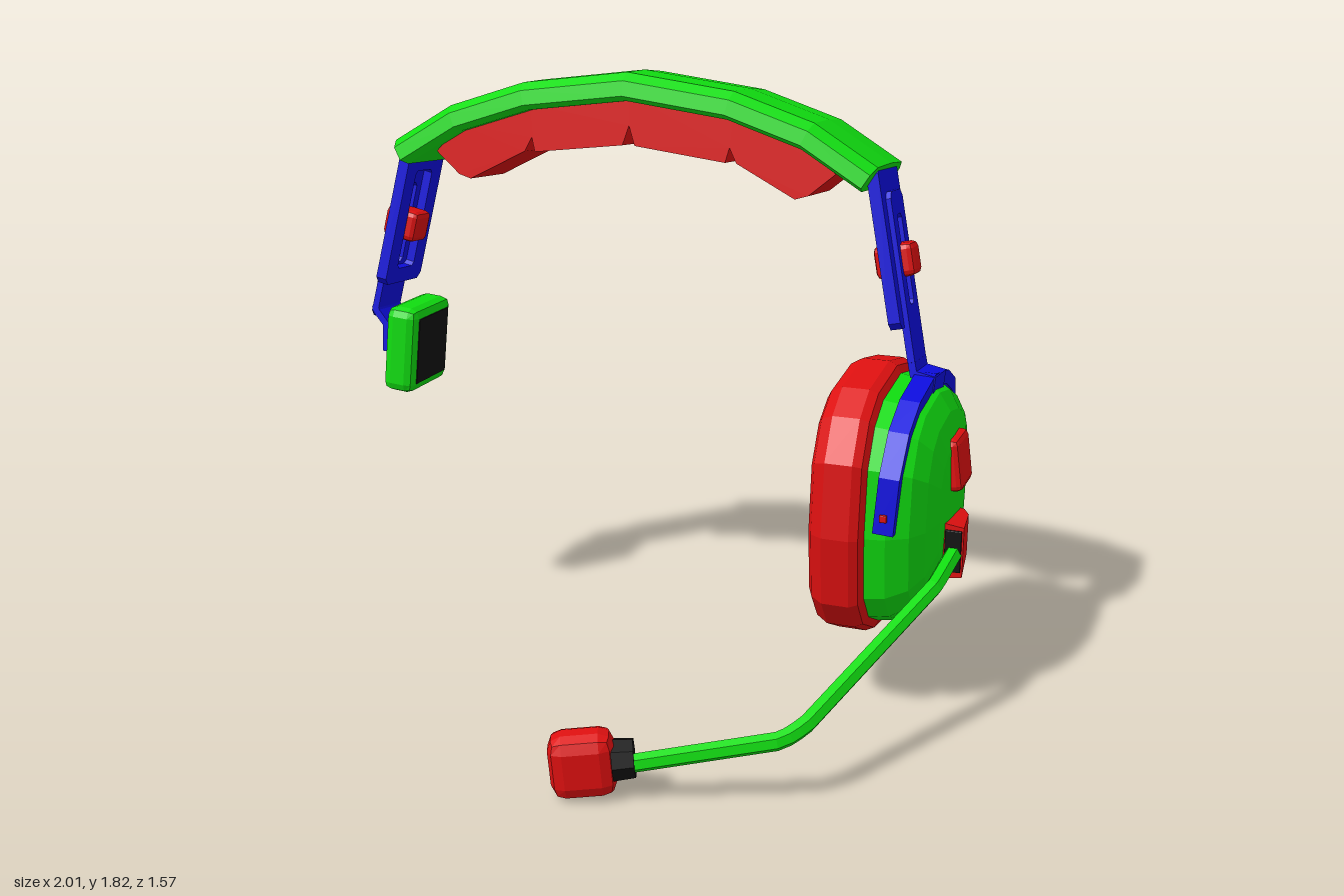
import * as THREE from 'three';
import { RoundedBoxGeometry } from 'three/addons/geometries/RoundedBoxGeometry.js';

const material = (name, color) => {
  const m = new THREE.MeshStandardMaterial({ color, flatShading: true });
  m.name = name;
  return m;
};

// Closed skin over equal-sized rings of points, capped at both ends and wound outward
function loft(rings) {
  const n = rings[0].length, pos = rings.flat(2), index = [];
  for (let r = 0; r < rings.length - 1; r++) {
    for (let i = 0; i < n; i++) {
      const a = r * n + i, b = r * n + (i + 1) % n;
      index.push(a, b, b + n, a, b + n, a + n);
    }
  }
  [[0, true], [rings.length - 1, false]].forEach(([r, flip]) => {
    const c = pos.length / 3;
    for (let k = 0; k < 3; k++) pos.push(rings[r].reduce((s, p) => s + p[k], 0) / n);
    for (let i = 0; i < n; i++) {
      const a = r * n + i, b = r * n + (i + 1) % n;
      index.push(c, flip ? b : a, flip ? a : b);
    }
  });
  const at = (i) => new THREE.Vector3(pos[i * 3], pos[i * 3 + 1], pos[i * 3 + 2]);
  let volume = 0;
  for (let i = 0; i < index.length; i += 3) {
    volume += at(index[i]).dot(at(index[i + 1]).cross(at(index[i + 2])));
  }
  if (volume < 0) index.reverse();
  const g = new THREE.BufferGeometry();
  g.setAttribute('position', new THREE.Float32BufferAttribute(pos, 3));
  g.setIndex(index);
  g.computeVertexNormals();
  return g;
}

// Sweep a section of [normal offset, z] along a flat xy path with mitred corners
function sweep(path, section) {
  const pts = path.map(([x, y]) => new THREE.Vector2(x, y));
  const rings = pts.map((p, i) => {
    const d0 = p.clone().sub(pts[Math.max(i - 1, 0)]).normalize();
    const d1 = pts[Math.min(i + 1, pts.length - 1)].clone().sub(p).normalize();
    const t = d0.clone().add(d1).normalize();
    const miter = 1 / Math.max(0.5, t.dot(d1.lengthSq() ? d1 : d0));
    return section.map(([a, w]) => [p.x - t.y * a * miter, p.y + t.x * a * miter, w]);
  });
  return loft(rings);
}

const rect = (a, w) => [[-a, -w], [a, -w], [a, w], [-a, w]];

// Upright slotted plate lying in the zy plane, its thickness along x
function slottedPlate(width, top, bottom, slotWidth, slotTop, slotBottom, depth) {
  const outline = (C, w, t, b, c) => {
    const s = new C();
    s.setFromPoints([[-w + c, b], [w - c, b], [w, b + c], [w, t - c], [w - c, t], [-w + c, t], [-w, t - c], [-w, b + c]]
      .map(([x, y]) => new THREE.Vector2(x, y)));
    return s;
  };
  const shape = outline(THREE.Shape, width / 2, top, bottom, 0.02);
  shape.holes.push(outline(THREE.Path, slotWidth / 2, slotTop, slotBottom, 0.012));
  const g = new THREE.ExtrudeGeometry(shape, { depth, bevelEnabled: false });
  return g.translate(0, 0, -depth / 2).rotateY(Math.PI / 2);
}

export function createModel() {
  const green = material('green shell', 0x10de10);
  const red = material('red padding', 0xde1010);
  const blue = material('blue frame', 0x0d0dde);
  const black = material('black foam', 0x121212);
  const model = new THREE.Group();
  model.name = 'headset';

  const add = (parent, name, geometry, mat, x = 0, y = 0, z = 0) => {
    const m = new THREE.Mesh(geometry, mat);
    m.name = name;
    m.position.set(x, y, z);
    parent.add(m);
    return m;
  };
  const block = (w, h, d, r) => new RoundedBoxGeometry(w, h, d, 1, r);

  // Headband assembly, leaning slightly backwards
  const head = new THREE.Group();
  head.name = 'headbandAssembly';
  head.position.set(-0.1, 1, -0.41);
  head.rotation.x = -0.08;
  model.add(head);

  const half = [[0.33, 0.738], [0.57, 0.66], [0.76, 0.545]];
  const arc = [...half.map(([x, y]) => [-x, y]).reverse(), [0, 0.78], ...half];
  const bandSection = [[-0.045, -0.15], [-0.03, -0.19], [0.015, -0.185], [0.04, -0.15], [0.046, 0],
    [0.04, 0.15], [0.015, 0.185], [-0.03, 0.19], [-0.045, 0.15]];
  add(head, 'headband', sweep(arc, bandSection), green);

  // Four cushions under the band
  const padShapes = [
    [[0, 0.75], [0, 0.66], [0.02, 0.6], [0.31, 0.565], [0.322, 0.61], [0.33, 0.71]],
    [[0.33, 0.71], [0.322, 0.61], [0.345, 0.565], [0.53, 0.47], [0.57, 0.482], [0.65, 0.55], [0.57, 0.64]],
  ];
  for (const s of [-1, 1]) {
    for (const pts of padShapes) {
      const shape = new THREE.Shape(pts.map(([x, y]) => new THREE.Vector2(s * x, y)));
      add(head, 'headbandPad', new THREE.ExtrudeGeometry(shape, { depth: 0.24, bevelEnabled: false }), red, 0, 0, -0.12);
    }
  }

  // Size sliders on both sides
  for (const s of [-1, 1]) {
    const slider = new THREE.Group();
    slider.name = s > 0 ? 'leftSlider' : 'rightSlider';
    slider.position.set(s * 0.765, 0.56, 0);
    slider.rotation.z = s * 0.21;
    head.add(slider);
    add(slider, 'sliderFrame', slottedPlate(0.24, 0.02, -0.46, 0.11, -0.08, -0.41, 0.036), blue, -s * 0.008);
    add(slider, 'sliderBar', slottedPlate(0.15, -0.06, -0.585, 0.05, -0.13, -0.4, 0.022), blue, s * 0.014);
    add(slider, 'sliderKnob', block(0.12, 0.1, 0.1, 0.018), red, 0, -0.265, 0);
  }
  const bracket = rect(0.011, 0.075);
  add(head, 'leftBracket', sweep([[0.897, 0.01], [0.905, -0.024], [0.96, -0.035], [0.955, -0.09]], bracket), blue);
  add(head, 'rightBracket', sweep([[-0.897, 0.03], [-0.89, 0.01], [-0.855, -0.03], [-0.855, -0.12]], bracket), blue);

  // Small temple rest on the model's right
  const rest = new THREE.Group();
  rest.name = 'templeRest';
  rest.position.set(-0.88, 0.905, -0.405);
  rest.rotation.z = -0.09;
  model.add(rest);
  add(rest, 'templeRestShell', block(0.11, 0.285, 0.265, 0.03), green);
  add(rest, 'templeRestPad', block(0.008, 0.22, 0.2, 0.003), black, 0.055);

  // Ear cup outline as [z, y], lofted sideways with a scale for each x
  const cz = -0.37, cy = 0.595;
  const outline = [[0.055, 0.58], [0.04, 0.8], [-0.03, 0.92], [-0.13, 0.98], [-0.36, 1.01], [-0.55, 0.975], [-0.7, 0.91],
    [-0.765, 0.83], [-0.785, 0.63], [-0.765, 0.42], [-0.7, 0.28], [-0.6, 0.215], [-0.41, 0.18], [-0.2, 0.21], [-0.05, 0.28], [0.025, 0.37]];
  const cup = (profile) => loft(profile.map(([x, k]) =>
    outline.map(([z, y]) => [x, cy + (y - cy) * k, cz + (z - cz) * k])));
  add(model, 'earCushion', cup([[0.595, 0.88], [0.61, 0.95], [0.645, 1], [0.725, 1], [0.75, 0.97], [0.765, 0.9]]), red);
  add(model, 'earCup', cup([[0.75, 0.92], [0.82, 0.89], [0.88, 0.8], [0.915, 0.67], [0.935, 0.45], [0.94, 0.2]]), green);

  // Yoke arching over the ear cup, path given as [-z, y] about its pivot
  const yokePath = [[0, 0.6], [0.01, 0.76], [0.07, 0.87], [0.17, 0.93], [0.36, 0.965], [0.55, 0.93], [0.67, 0.875], [0.725, 0.77], [0.74, 0.55]]
    .map(([z, y]) => [z, y - 0.6]);
  const yoke = add(model, 'yoke', sweep(yokePath, rect(0.021, 0.03)).rotateY(Math.PI / 2), blue, 0.815, 0.6, 0);
  yoke.rotation.z = -0.06;
  for (const z of [0.02, -0.757]) add(model, 'yokeRivet', block(0.022, 0.022, 0.012, 0.003), red, 0.815, 0.65, z);

  // Button and microphone hinge on the outer face
  const button = add(model, 'button', block(0.05, 0.16, 0.16, 0.018), red, 0.94, 0.722, -0.38);
  button.rotation.z = 0.14;
  const hinge = [[-0.48, 0.9, 0.95, 0.41, 0.545], [-0.42, 0.9, 0.975, 0.405, 0.55], [-0.25, 0.925, 0.995, 0.39, 0.565]];
  add(model, 'micHinge', loft(hinge.map(([z, x0, x1, y0, y1]) =>
    [[x0, y0, z], [x1, y0 + 0.01, z], [x1, y1 - 0.01, z], [x0, y1, z]])), red);
  add(model, 'hingeSocket', block(0.05, 0.13, 0.008, 0.003), black, 0.965, 0.48, -0.248);

  // Microphone boom
  const boom = new THREE.CurvePath();
  const stops = [[0.968, 0.475, -0.27], [0.95, 0.43, -0.08], [0.735, 0.21, 0.49], [0.69, 0.185, 0.545], [0.31, 0.113, 0.69]]
    .map((p) => new THREE.Vector3(...p));
  for (let i = 1; i < stops.length; i++) boom.add(new THREE.LineCurve3(stops[i - 1], stops[i]));
  add(model, 'micBoom', new THREE.TubeGeometry(boom, 40, 0.026, 6), green);

  // Microphone head
  const mic = new THREE.Group();
  mic.name = 'microphone';
  mic.position.set(0.186, 0.104, 0.71);
  mic.rotation.set(0, 0.36, 0.1);
  model.add(mic);
  add(mic, 'micFoam', block(0.18, 0.18, 0.12, 0.04), red);
  add(mic, 'micCollar', new THREE.CylinderGeometry(0.055, 0.06, 0.06, 8).rotateZ(-Math.PI / 2), black, 0.11);
  return model;
}
